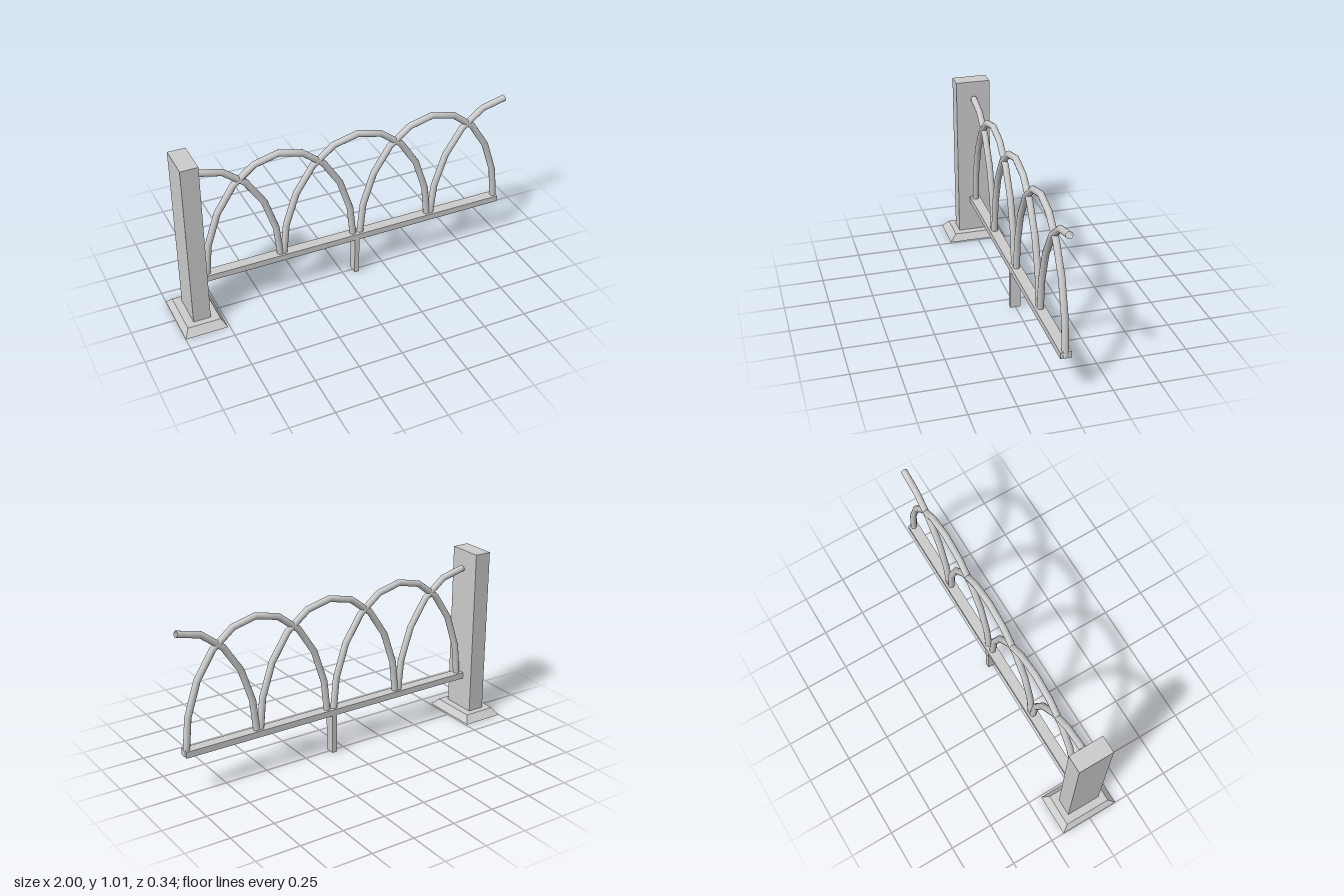
import * as THREE from 'three';

const material = new THREE.MeshStandardMaterial({ color: 0xcccccc, side: THREE.DoubleSide });

// Ellipse arc walked in straight facets, so the tube bends at mitred joints
class FacetedArc extends THREE.Curve {
  constructor(cx, cy, a, b, from, to, segments) {
    super();
    this.segments = segments;
    this.points = Array.from({ length: segments + 1 }, (_, i) => {
      const t = from + (to - from) * i / segments;
      return new THREE.Vector3(cx + a * Math.cos(t), cy + b * Math.sin(t), 0);
    });
  }
  getPoint(t, target = new THREE.Vector3()) {
    const s = t * this.segments;
    const i = Math.min(Math.floor(s), this.segments - 1);
    return target.lerpVectors(this.points[i], this.points[i + 1], s - i);
  }
  getPointAt(u, target) { return this.getPoint(u, target); }
  getTangentAt(u, target) { return this.getTangent(u, target); }
}

// Box between two corners; faces are +x, -x, +y, -y, +z, -z
function boxBetween(x0, x1, y0, y1, z0, z1, dropFaces = []) {
  const g = new THREE.BoxGeometry(x1 - x0, y1 - y0, z1 - z0);
  g.translate((x0 + x1) / 2, (y0 + y1) / 2, (z0 + z1) / 2);
  g.setIndex(Array.from(g.index.array).filter((_, i) => !dropFaces.includes(Math.floor(i / 6))));
  g.clearGroups();
  return g;
}

function rectangle(path, w, d) {
  path.moveTo(-w, -d).lineTo(w, -d).lineTo(w, d).lineTo(-w, d).closePath();
  return path;
}

export function createModel() {
  const model = new THREE.Group();
  model.name = 'railing';
  const add = (name, geometry, parent = model) => {
    const mesh = new THREE.Mesh(geometry, material);
    mesh.name = name;
    parent.add(mesh);
    return mesh;
  };

  // Post, open underneath
  const postX = -0.88, baseTop = 0.04;
  add('post', boxBetween(-0.929, -0.831, baseTop, 1.01, -0.1, 0.1, [3]));

  // Hollow base: four sloping walls and a collar around the post
  const base = new THREE.Group();
  base.name = 'postBase';
  base.position.x = postX;
  model.add(base);
  const walls = boxBetween(-0.12, 0.12, 0, baseTop, -0.172, 0.172, [2, 3]);
  const p = walls.attributes.position;
  for (let i = 0; i < p.count; i++) {
    if (p.getY(i) > baseTop / 2) p.setXYZ(i, Math.sign(p.getX(i)) * 0.093, baseTop, Math.sign(p.getZ(i)) * 0.135);
  }
  walls.computeVertexNormals();
  add('baseWalls', walls, base);
  const collar = rectangle(new THREE.Shape(), 0.093, 0.135);
  collar.holes.push(rectangle(new THREE.Path(), 0.049, 0.1));
  add('baseCollar', new THREE.ShapeGeometry(collar).rotateX(-Math.PI / 2).translate(0, baseTop, 0), base);

  // Bottom rail and its leg
  add('bottomRail', boxBetween(-0.83, 0.987, 0.228, 0.264, -0.03, 0.03));
  add('leg', boxBetween(0.063, 0.091, 0, 0.228, -0.03, 0.03));

  // Overlapping bent-tube arches: [name, centre x, half width, start, end, facets]
  const arches = new THREE.Group();
  arches.name = 'arches';
  model.add(arches);
  const H = Math.PI / 2;
  for (const [name, x, a, from, to, n] of [
    ['leftHalfArch', -0.815, 0.442, 0, H, 5],
    ['leftArch', -0.369, 0.436, 0, 2 * H, 10],
    ['middleArch', 0.0885, 0.446, 0, 2 * H, 10],
    ['rightArch', 0.54, 0.435, 0, 2 * H, 10],
    ['rightHalfArch', 0.995, 0.443, H, 2 * H, 5],
  ]) {
    const arc = new FacetedArc(x, 0.23, a, 0.68, from, to, n);
    add(name, new THREE.TubeGeometry(arc, n, 0.0187, 12, false), arches);
  }
  return model;
}
